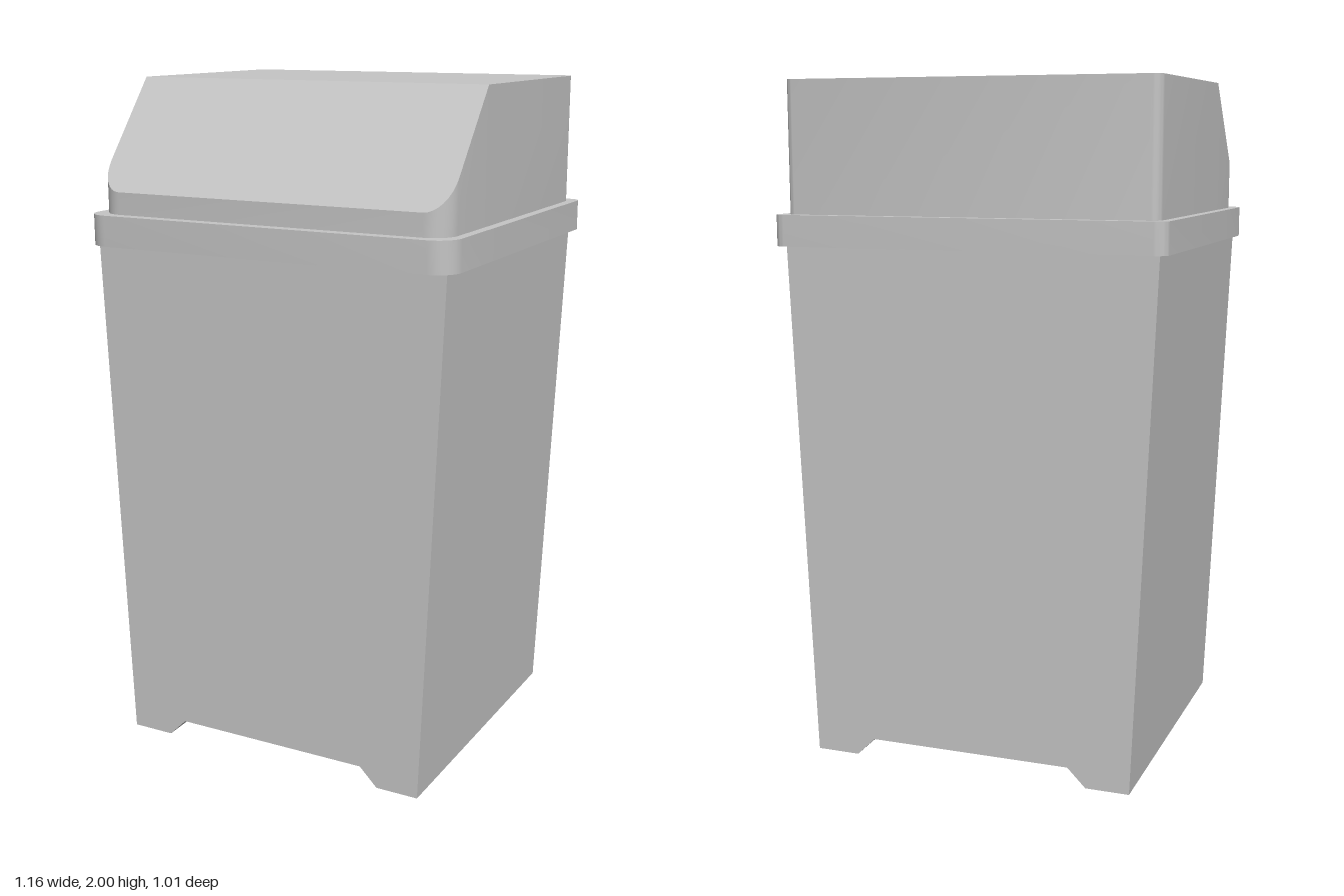
import * as THREE from 'three';
import { toCreasedNormals } from 'three/addons/utils/BufferGeometryUtils.js';

const FOLD_Z = 0.21; // where the flat roof meets the sloped flap

// Plan outline with wider front corners; shape y is -z
function planOutline(hx, hz, frontR, backR) {
  const s = new THREE.Shape();
  const q = Math.PI / 2;
  s.absarc(hx - frontR, -hz + frontR, frontR, -q, 0);
  s.lineTo(hx, -FOLD_Z);
  s.absarc(hx - backR, hz - backR, backR, 0, q);
  s.absarc(-hx + backR, hz - backR, backR, q, 2 * q);
  s.lineTo(-hx, -FOLD_Z);
  s.absarc(-hx + frontR, -hz + frontR, frontR, 2 * q, 3 * q);
  return s;
}

// Lid: rounded prism whose top follows the roof and the slope
function lidGeometry(hx, hz, base, top, lip) {
  const pts = planOutline(hx, hz, 0.07, 0.03).getPoints(4);
  const slope = (top - lip) / (hz - FOLD_Z);
  const lower = pts.map(p => new THREE.Vector3(p.x, base, -p.y));
  const upper = lower.map(p =>
    new THREE.Vector3(p.x, Math.min(top, lip + (hz - p.z) * slope), p.z));
  const pos = [];
  const tri = (...v) => v.forEach(p => pos.push(p.x, p.y, p.z));
  const fan = (loop) => {
    for (let i = 1; i < loop.length - 1; i++) tri(loop[0], loop[i], loop[i + 1]);
  };
  lower.forEach((a, i) => {
    const j = (i + 1) % lower.length;
    tri(a, lower[j], upper[j]);
    tri(a, upper[j], upper[i]);
  });
  fan(upper.filter(p => p.z >= FOLD_Z - 1e-6)); // sloped flap
  fan(upper.filter(p => p.z <= FOLD_Z + 1e-6)); // flat roof
  fan([...lower].reverse()); // underside
  const g = new THREE.BufferGeometry();
  g.setAttribute('position', new THREE.Float32BufferAttribute(pos, 3));
  return toCreasedNormals(g, Math.PI / 6);
}

export function createModel() {
  const group = new THREE.Group();
  const plastic = new THREE.MeshStandardMaterial({ color: 0xc4c4c4 });
  plastic.name = 'light grey plastic';
  const add = (name, geometry) => {
    const mesh = new THREE.Mesh(geometry, plastic);
    mesh.name = name;
    group.add(mesh);
  };

  // Tapered bin with a channel through the bottom
  const half = [[0.305, 0.055], [0.36, 0], [0.49, 0], [0.555, 1.54]];
  const profile = [...half, ...half.map(([x, y]) => [-x, y]).reverse()];
  const body = new THREE.ExtrudeGeometry(
    new THREE.Shape(profile.map(([x, y]) => new THREE.Vector2(x, y))),
    { depth: 0.94, bevelEnabled: false });
  body.translate(0, 0, -0.47);
  add('body', body);

  // Overhanging rim
  const rim = new THREE.ExtrudeGeometry(planOutline(0.58, 0.505, 0.07, 0.035),
    { depth: 0.09, bevelEnabled: false, curveSegments: 4 });
  rim.rotateX(-Math.PI / 2);
  rim.translate(0, 1.53, 0);
  add('rim', toCreasedNormals(rim, Math.PI / 6));

  // Lid with the sloped front
  add('lid', lidGeometry(0.552, 0.469, 1.62, 2, 1.685));

  return group;
}
